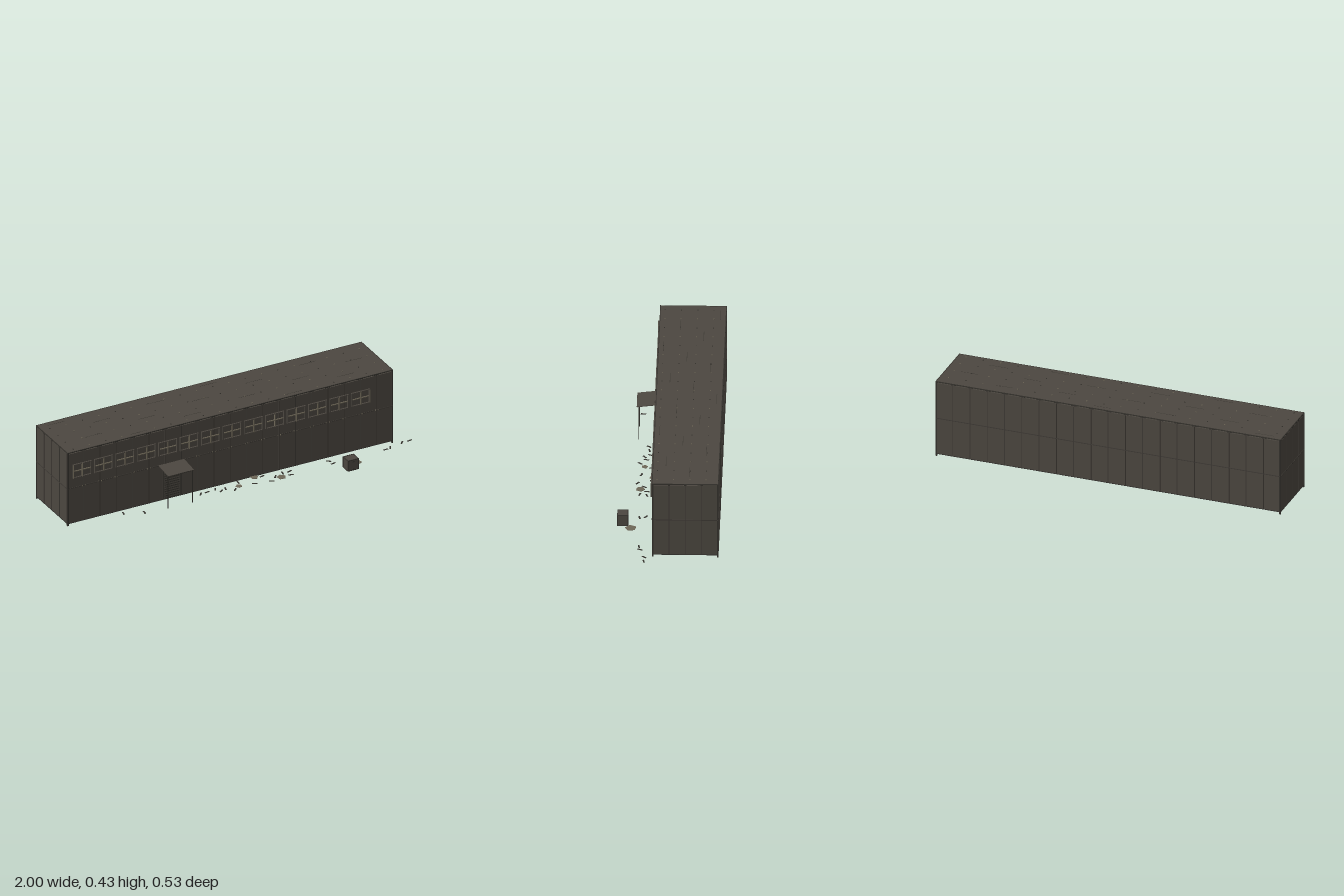
import * as THREE from 'three';

export function createModel() {
  const root = new THREE.Group();
  const mat = (name, color) => {
    const m = new THREE.MeshStandardMaterial({ color });
    m.name = name;
    return m;
  };
  const wall = mat('weathered panel', 0x4c4740);
  const frame = mat('dark steel', 0x35322d);
  const seam = mat('panel seam', 0x3d3934);
  const trim = mat('faded trim', 0x6e6757);
  const base = mat('underside', 0x2f2d2a);

  const group = (name, parent = root) => {
    const g = new THREE.Group();
    g.name = name;
    parent.add(g);
    return g;
  };
  const box = (parent, name, m, x, y, z, w, h, d) => {
    const b = new THREE.Mesh(new THREE.BoxGeometry(w, h, d), m);
    b.name = name;
    b.position.set(x, y, z);
    parent.add(b);
    return b;
  };

  // Main hall extents
  const X0 = -1, X1 = 0.91, Z0 = -0.265, Z1 = 0.08;
  const CX = (X0 + X1) / 2, CZ = (Z0 + Z1) / 2, W = X1 - X0, D = Z1 - Z0;
  const Y0 = 0.012, YT = 0.419, HM = 0.217;

  // Walls and floor
  const hall = group('hall');
  box(hall, 'walls', wall, CX, (Y0 + YT) / 2 + 0.001, CZ, W - 0.004, YT - Y0 - 0.002, D - 0.004);
  box(hall, 'floor', base, CX, Y0 + 0.001, CZ, W, 0.003, D);

  // Corner posts reaching below the floor as feet
  for (const x of [X0 + 0.004, X1 - 0.004])
    for (const z of [Z0 + 0.004, Z1 - 0.004])
      box(hall, 'cornerPost', frame, x, 0.2135, z, 0.008, 0.427, 0.008);

  // Roof slab held above the walls, with edge rails
  const roof = group('roof');
  box(roof, 'roofPanel', wall, CX, 0.4265, CZ, W - 0.004, 0.004, D - 0.004);
  for (const z of [Z0 + 0.002, Z1 - 0.002])
    box(roof, 'longRail', frame, CX, 0.4265, z, W, 0.005, 0.004);
  for (const x of [X0 + 0.002, X1 - 0.002])
    box(roof, 'endRail', frame, x, 0.4265, CZ, 0.004, 0.005, D);

  // Wall seams, with brackets on the front and spacers under the roof
  const COLS = 20, step = W / COLS;
  const seams = group('seams');
  for (let i = 1; i < COLS; i++) {
    const x = X0 + i * step;
    for (const z of [Z0 + 0.001, Z1 - 0.001]) {
      box(seams, 'wallSeam', seam, x, 0.216, z, 0.004, 0.406, 0.003);
      box(seams, 'roofSpacer', frame, x, 0.422, z > 0 ? z - 0.006 : z + 0.006, 0.03, 0.006, 0.006);
    }
    for (const s of [-1, 1])
      box(seams, 'bracket', trim, x + s * 0.008, HM, Z1, 0.004, 0.006, 0.003);
  }
  for (const z of [Z0 + 0.001, Z1 - 0.001])
    box(seams, 'midSeam', seam, CX, HM, z, W - 0.008, 0.004, 0.003);
  for (const x of [X0 + 0.001, X1 - 0.001]) {
    box(seams, 'endMidSeam', seam, x, HM, CZ, 0.003, 0.004, D - 0.008);
    for (const z of [-0.009, -0.093, -0.178]) {
      box(seams, 'endSeam', seam, x, 0.216, z, 0.003, 0.406, 0.004);
      box(seams, 'endSpacer', frame, x, 0.422, z, 0.003, 0.006, 0.012);
    }
  }

  // Roof bolts in four rows and scattered roof joints
  const bolts = group('roofBolts');
  for (const z of [0.053, -0.031, -0.116, -0.2])
    for (let i = 0; i < COLS; i++)
      box(bolts, 'roofBolt', i % 2 ? trim : frame, X0 + (i + 0.5) * step, 0.429, z, 0.006, 0.003, 0.005);
  for (let i = 0; i < 16; i++)
    box(bolts, 'roofJoint', seam, -0.9 + i * 0.112, 0.4285, Z0 + 0.03 + ((i * 5) % 8) * 0.041, 0.1, 0.001, 0.003);

  // Row of fourteen windows
  const windows = group('windows');
  for (let i = 0; i < 14; i++) {
    const win = group('window', windows);
    win.position.set(-0.915 + i * 0.1255, 0.315, 0.084);
    for (const s of [-1, 1]) {
      box(win, 'windowSide', wall, s * 0.052, 0, 0, 0.005, 0.08, 0.009);
      box(win, 'windowRail', wall, 0, s * 0.038, 0, 0.1, 0.004, 0.008);
    }
    box(win, 'mullion', trim, 0, 0, 0.001, 0.005, 0.078, 0.007);
    box(win, 'crossbar', trim, 0, 0, 0, 0.1, 0.004, 0.006);
  }
  box(windows, 'outerTrim', trim, -0.968, 0.315, 0.087, 0.004, 0.078, 0.006);
  box(windows, 'outerTrim', trim, 0.769, 0.315, 0.087, 0.004, 0.078, 0.006);

  // Slatted door under the canopy
  const DX = -0.39;
  const door = group('door');
  box(door, 'doorLeaf', wall, DX, 0.099, 0.08, 0.096, 0.17, 0.004);
  for (let i = 0; i < 13; i++)
    box(door, 'doorSlat', frame, DX, 0.022 + i * 0.0128, 0.083, 0.09, 0.005, 0.005);
  for (const s of [-1, 1])
    box(door, 'doorJamb', frame, DX + s * 0.05, 0.099, 0.081, 0.005, 0.172, 0.005);

  // Sloping canopy on two posts
  const canopy = group('canopy');
  const sheet = box(canopy, 'canopySheet', wall, DX, 0.212, 0.1325, 0.15, 0.004, 0.107);
  sheet.rotation.x = Math.atan2(0.013, 0.105);
  box(canopy, 'canopyEdge', frame, DX, 0.205, 0.184, 0.15, 0.005, 0.003);
  for (const s of [-1, 1])
    box(canopy, 'canopyPost', frame, DX + s * 0.072, 0.109, 0.175, 0.005, 0.194, 0.004);

  // Crate with corner framing
  const crate = group('crate');
  crate.position.set(0.577, 0.0435, 0.237);
  box(crate, 'crateBody', wall, 0, 0, 0, 0.06, 0.059, 0.053);
  for (const a of [-1, 1])
    for (const b of [-1, 1]) {
      box(crate, 'crateEdge', frame, a * 0.03, 0, b * 0.0265, 0.004, 0.063, 0.004);
      box(crate, 'crateEdge', frame, 0, a * 0.0295, b * 0.0265, 0.064, 0.004, 0.004);
      box(crate, 'crateEdge', frame, a * 0.03, b * 0.0295, 0, 0.004, 0.004, 0.057);
    }
  for (const y of [-0.023, 0.02])
    box(crate, 'crateLatch', frame, 0, y, 0.029, 0.012, 0.006, 0.003);

  // Scattered slivers and larger flakes lying on the ground: x, z, turn
  const debris = group('debris');
  const slivers = [
    [-0.69, 0.115, 1.4], [-0.59, 0.157, 1.5], [-0.24, 0.12, 0.9], [-0.2, 0.117, 0.2],
    [-0.15, 0.11, 1.1], [-0.13, 0.14, 0.6], [-0.1, 0.13, 1.3], [-0.06, 0.162, 0.8],
    [-0.01, 0.1, 1.5], [0.06, 0.153, -0.4], [0.13, 0.1, 0.3], [0.15, 0.17, -0.6],
    [0.19, 0.135, 0.9], [0.24, 0.12, 1.4], [0.28, 0.12, 0.3], [0.27, 0.157, -0.3],
    [0.51, 0.12, -0.6], [0.52, 0.152, 0.2], [0.83, 0.148, 0.1], [0.86, 0.142, 1.1],
    [0.94, 0.12, 0.8], [0.985, 0.12, 0.2],
  ];
  for (const [x, z, r] of slivers)
    box(debris, 'sliver', frame, x, 0.0135, z, 0.028, 0.002, 0.008).rotation.y = r;
  const flakes = [
    [0.09, 0.09, 0.022, 0.3], [-0.025, 0.137, 0.018, 0.8], [0.215, 0.155, 0.025, 0.5],
    [0.63, 0.195, 0.031, 1.1],
  ];
  for (const [x, z, r, turn] of flakes) {
    const f = new THREE.Mesh(new THREE.CylinderGeometry(r, r, 0.002, 5), trim);
    f.name = 'flake';
    f.position.set(x, 0.0135, z);
    f.rotation.y = turn;
    debris.add(f);
  }
  return root;
}
